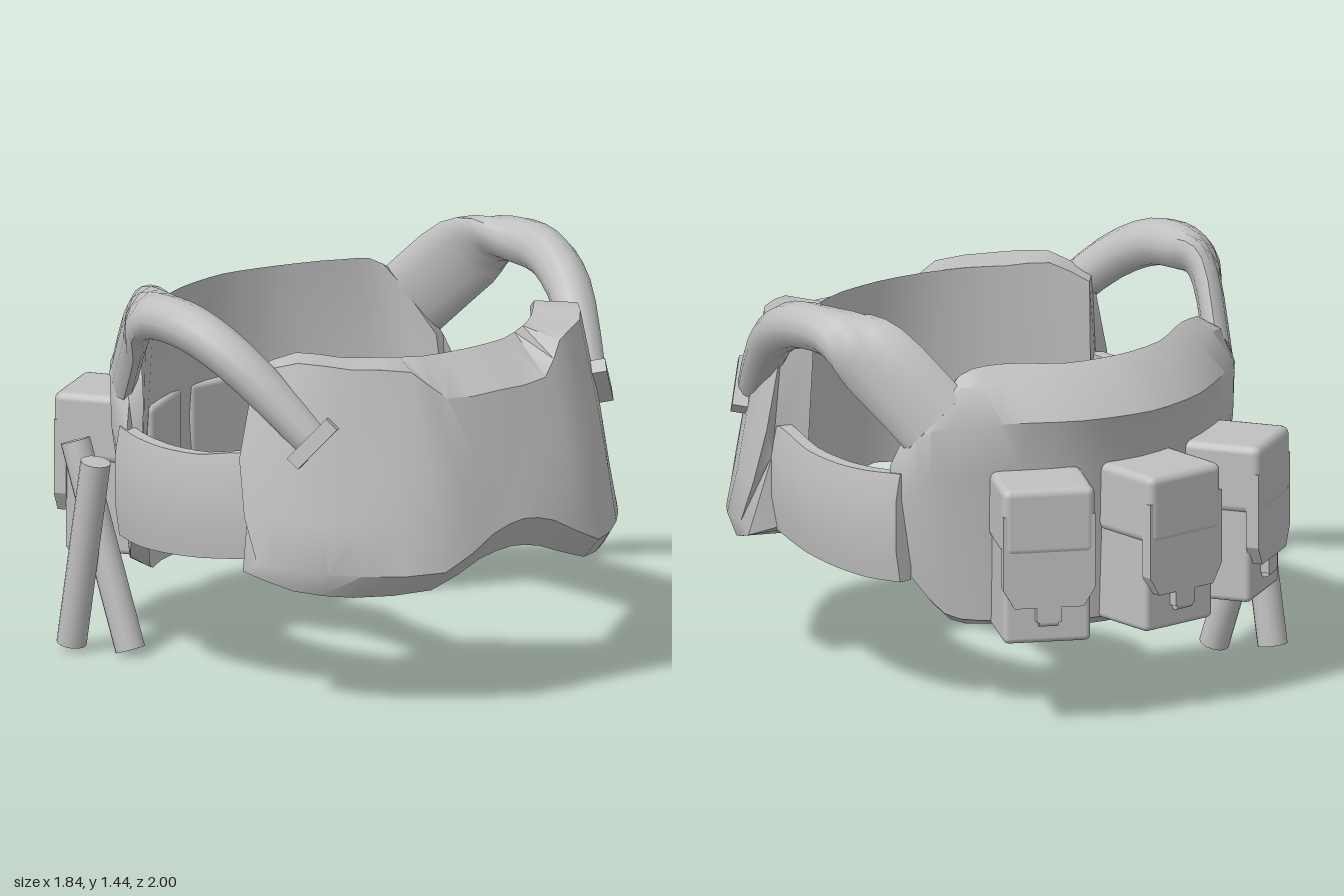
import * as THREE from 'three';
import { toCreasedNormals } from 'three/addons/utils/BufferGeometryUtils.js';
import { RoundedBoxGeometry } from 'three/addons/geometries/RoundedBoxGeometry.js';

const grey = new THREE.MeshStandardMaterial({ color: 0xc0c0c0 });
grey.name = 'plain grey';

function mesh(geometry, name, parent, x = 0, y = 0, z = 0) {
  const m = new THREE.Mesh(geometry, grey);
  m.name = name;
  m.position.set(x, y, z);
  parent.add(m);
  return m;
}

// Solid skin over closed rings of Vector3, with end caps, always facing outward
function loft(rings, crease = 0.6) {
  const n = rings[0].length, pts = rings.flat(), tris = [];
  for (let i = 0; i < rings.length - 1; i++)
    for (let j = 0; j < n; j++) {
      const a = i * n + j, b = i * n + (j + 1) % n;
      tris.push([a, b, b + n], [a, b + n, a + n]);
    }
  [0, rings.length - 1].forEach((r, end) => {
    const mid = new THREE.Vector3();
    rings[r].forEach(p => mid.addScaledVector(p, 1 / n));
    const c = pts.push(mid) - 1;
    for (let j = 0; j < n; j++) {
      const a = r * n + j, b = r * n + (j + 1) % n;
      tris.push(end ? [c, a, b] : [c, b, a]);
    }
  });
  let volume = 0;
  const cross = new THREE.Vector3();
  for (const [a, b, c] of tris) volume += pts[a].dot(cross.crossVectors(pts[b], pts[c]));
  if (volume < 0) tris.forEach(t => t.reverse());
  const g = new THREE.BufferGeometry().setFromPoints(pts);
  g.setIndex(tris.flat());
  return toCreasedNormals(g, crease);
}

// Smoothly fill in extra rings between the given cross-sections
function refine(stations, per = 3) {
  const curves = stations[0].map((_, j) =>
    new THREE.CatmullRomCurve3(stations.map(s => new THREE.Vector3(...s[j])), false, 'catmullrom', 0.4));
  const steps = (stations.length - 1) * per;
  return Array.from({ length: steps + 1 }, (_, i) => curves.map(c => c.getPoint(i / steps)));
}

// Complete a half list that starts at x = 0
const mirrored = half => [
  ...half.slice(1).reverse().map(s => s.map(([x, y, z]) => [-x, y, z])), ...half];

// Rings run: inner bottom, chamfer, lower edge, low middle, middle, top edge, inner top
const chest = [
  [[0, .56, .71], [0, .555, .93], [0, .67, 1], [0, .75, .975], [0, .9, .93], [0, 1.115, .865], [0, 1.235, .69]],
  [[.18, .53, .68], [.14, .53, .92], [.14, .64, 1], [.15, .74, .975], [.16, .9, .93], [.23, 1.12, .85], [.19, 1.235, .67]],
  [[.36, .47, .6], [.36, .45, .91], [.36, .53, .99], [.36, .7, .96], [.36, .9, .91], [.35, 1.225, .79], [.34, 1.242, .6]],
  [[.48, .45, .51], [.59, .43, .75], [.6, .52, .81], [.59, .7, .78], [.58, .9, .74], [.54, 1.245, .68], [.45, 1.245, .52]],
  [[.59, .48, .41], [.74, .45, .6], [.75, .53, .64], [.745, .7, .59], [.73, .9, .56], [.66, 1.26, .53], [.56, 1.26, .41]],
  [[.67, .56, .31], [.83, .505, .43], [.815, .54, .49], [.815, .7, .42], [.795, .9, .37], [.725, 1.2, .37], [.645, 1.2, .29]],
];

// Rings run: inner bottom, outer bottom, middle, collar bulge, collar top, inner top, inner middle
const back = [
  [[0, .275, -.63], [0, .32, -.72], [0, .9, -.75], [0, 1.08, -.81], [0, 1.2, -.71], [0, 1.25, -.63], [0, .75, -.65]],
  [[.22, .28, -.59], [.26, .33, -.68], [.27, .9, -.7], [.27, 1.08, -.75], [.25, 1.2, -.66], [.22, 1.25, -.59], [.23, .75, -.62]],
  [[.42, .3, -.48], [.5, .34, -.55], [.52, .9, -.57], [.52, 1.08, -.6], [.48, 1.21, -.54], [.42, 1.26, -.48], [.44, .75, -.52]],
  [[.57, .32, -.37], [.63, .36, -.41], [.71, .85, -.42], [.71, 1.05, -.43], [.65, 1.18, -.44], [.57, 1.23, -.42], [.61, .75, -.37]],
  [[.69, .52, -.24], [.74, .56, -.27], [.77, .75, -.27], [.765, .9, -.27], [.74, .97, -.29], [.69, .98, -.27], [.71, .75, -.25]],
];

// Belt stations: z, outer x, bottom y, top y
const belt = [[.47, .73, .535, .88], [.34, .775, .52, .91], [.15, .815, .495, .875], [-.03, .825, .48, .865],
  [-.18, .815, .475, .87], [-.32, .78, .48, .88]]
  .map(([z, x, lo, hi]) => [[x - .07, lo, z], [x - .02, lo, z], [x, lo + .12, z],
    [x, hi - .1, z], [x - .02, hi, z], [x - .07, hi, z]]);

// Shoulder strap, round at the front and fanning into a flat band where it joins the back
function strapGeometry(s) {
  const path = new THREE.CatmullRomCurve3([[.64, .97, .615], [.71, 1.11, .49], [.79, 1.26, .33], [.83, 1.34, .17],
    [.835, 1.357, .02], [.815, 1.34, -.11], [.765, 1.265, -.22], [.66, 1.07, -.4]]
    .map(p => new THREE.Vector3(...p)));
  const rings = [], steps = 18;
  const frontSide = new THREE.Vector3(.82, -.5, .1), backSide = new THREE.Vector3(.55, -.6, .57);
  for (let i = 0; i <= steps; i++) {
    const t = i / steps, p = path.getPoint(t), dir = path.getTangent(t);
    const flare = THREE.MathUtils.smoothstep(t, .55, .88);
    const u = frontSide.clone().lerp(backSide, flare);
    u.addScaledVector(dir, -u.dot(dir)).normalize();
    const v = new THREE.Vector3().crossVectors(dir, u);
    const round = .066 + .02 * Math.sin(Math.PI * t);
    const ru = THREE.MathUtils.lerp(round, .15, flare), rv = THREE.MathUtils.lerp(round, .05, flare);
    rings.push(Array.from({ length: 12 }, (_, j) => {
      const a = j / 12 * Math.PI * 2;
      const q = p.clone().addScaledVector(u, ru * Math.cos(a)).addScaledVector(v, rv * Math.sin(a));
      q.x *= s;
      return q;
    }));
  }
  return loft(rings, 0.9);
}

// Slab at the front end of a strap
function addStrapEnd(parent, s) {
  const along = new THREE.Vector3(.08 * s, .14, -.13).normalize();
  const wide = new THREE.Vector3(.14 * s, -.16, -.12);
  wide.addScaledVector(along, -wide.dot(along)).normalize();
  const m = mesh(new THREE.BoxGeometry(.2, .055, .11), 'strapEnd', parent, .66 * s, .985, .62);
  m.quaternion.setFromRotationMatrix(
    new THREE.Matrix4().makeBasis(wide, along, new THREE.Vector3().crossVectors(wide, along)));
}

// Pouch with an overlapping lid and a clip; local +z points outward
function addPouch(parent, side, name) {
  const g = new THREE.Group();
  g.name = name;
  g.rotation.y = Math.PI - side * Math.PI / 6;
  g.position.x = side * .027;
  parent.add(g);
  mesh(new RoundedBoxGeometry(.315, .55, .335, 2, .02), 'pouchBody', g, 0, .595, .7925);
  mesh(new RoundedBoxGeometry(.335, .25, .3, 2, .03), 'pouchLid', g, 0, .775, .85);
  const flap = new THREE.Shape([[-.167, .8], [-.167, .53], [-.125, .46], [.125, .46], [.167, .53], [.167, .8]]
    .map(p => new THREE.Vector2(...p)));
  mesh(new THREE.ExtrudeGeometry(flap, { depth: .046, bevelEnabled: false }), 'pouchFlap', g, 0, 0, .95);
  mesh(new THREE.BoxGeometry(.09, .07, .035), 'pouchClip', g, 0, .44, .975);
  const pin = mesh(new THREE.CylinderGeometry(.018, .018, .07, 10), 'clipPin', g, 0, .405, .975);
  pin.rotation.z = Math.PI / 2;
}

// Straight round stick between two points
function addStick(parent, from, to) {
  const a = new THREE.Vector3(...from), b = new THREE.Vector3(...to);
  const m = mesh(new THREE.CylinderGeometry(.054, .054, a.distanceTo(b), 16), 'stick', parent);
  m.position.copy(a).lerp(b, .5);
  m.quaternion.setFromUnitVectors(new THREE.Vector3(0, 1, 0), b.sub(a).normalize());
}

export function createModel() {
  const model = new THREE.Group();
  model.name = 'vest';
  mesh(loft(refine(mirrored(chest), 2), 0.62), 'chestPlate', model);
  mesh(loft(refine(mirrored(back)), 0.65), 'backPlate', model);
  for (const s of [1, -1]) {
    const label = s > 0 ? 'left' : 'right';
    const sideBelt = belt.map(ring => ring.map(([x, y, z]) => [x * s, y, z]));
    mesh(loft(refine(sideBelt)), label + 'Belt', model);
    mesh(strapGeometry(s), label + 'ShoulderStrap', model);
    addStrapEnd(model, s);
  }
  addPouch(model, 0, 'centrePouch');
  addPouch(model, 1, 'leftPouch');
  addPouch(model, -1, 'rightPouch');
  addStick(model, [-.63, .02, -.41], [-.68, .75, -.65]);
  addStick(model, [-.75, .03, -.59], [-.75, .72, -.46]);
  return model;
}
